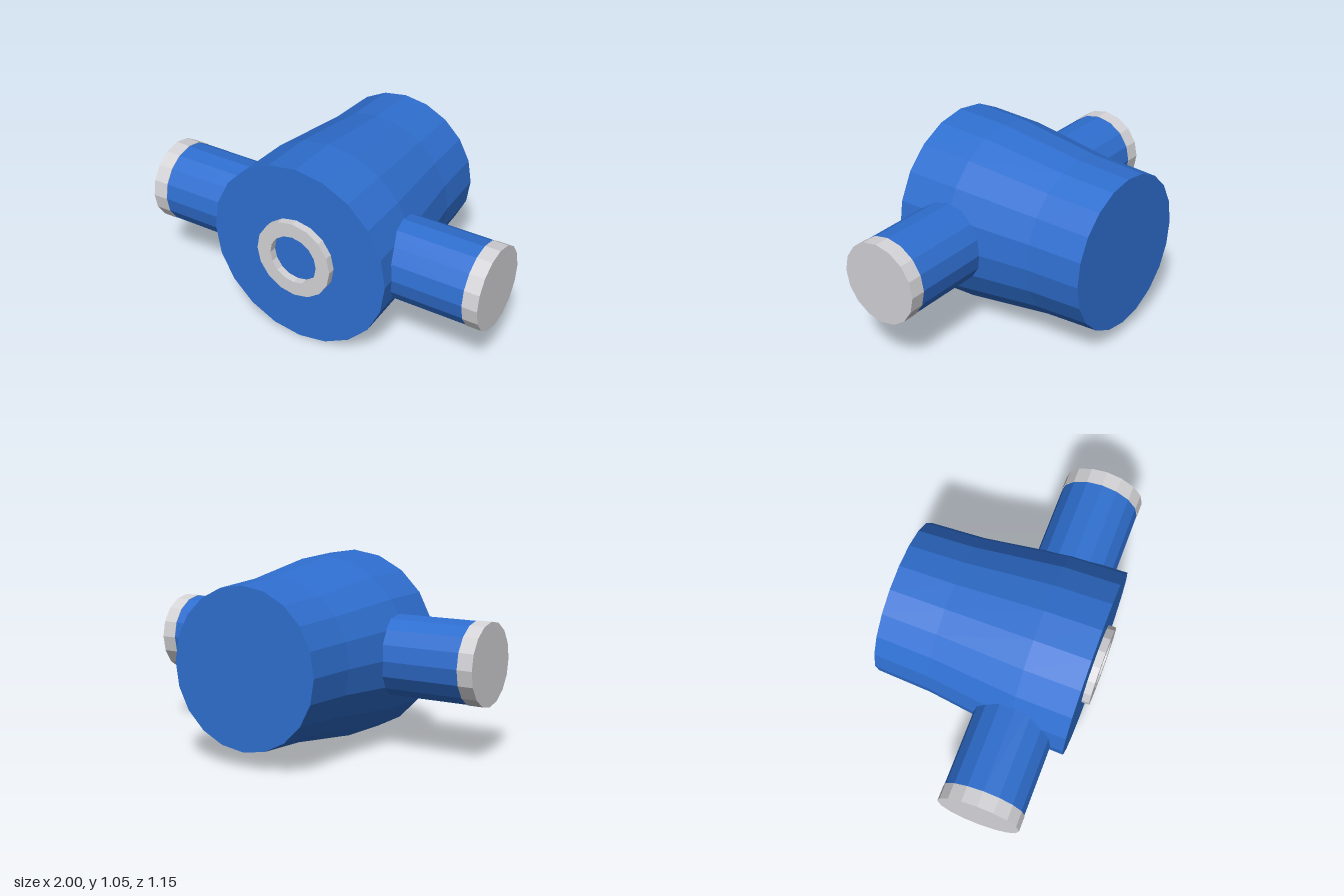
import * as THREE from 'three';

export function createModel() {
  const group = new THREE.Group();
  const blue = new THREE.MeshStandardMaterial({ color: 0x2f6fd0, flatShading: true });
  blue.name = 'blue paint';
  const silver = new THREE.MeshStandardMaterial({ color: 0xd4d4d8, flatShading: true });
  silver.name = 'silver metal';
  const centreY = 0.527;

  // Turned part along z from [radius, z] pairs
  const turned = (name, profile, sides, material) => {
    const points = profile.map(([r, z]) => new THREE.Vector2(r, z));
    const mesh = new THREE.Mesh(new THREE.LatheGeometry(points, sides).rotateX(Math.PI / 2), material);
    mesh.name = name;
    mesh.position.y = centreY;
    group.add(mesh);
  };

  // Tapered main body, closed at both ends
  turned('body', [
    [0, -0.575], [0.432, -0.575], [0.448, -0.265], [0.513, 0.225], [0.523, 0.535], [0, 0.535],
  ], 20, blue);

  // Raised collar on the front face
  turned('frontRing', [
    [0.14, 0.53], [0.222, 0.53], [0.222, 0.577], [0.14, 0.577], [0.14, 0.53],
  ], 16, silver);

  // Side pipes with end caps
  const pipe = (name, radius, from, to, side, material) => {
    const geometry = new THREE.CylinderGeometry(radius, radius, to - from, 16).rotateZ(Math.PI / 2);
    const mesh = new THREE.Mesh(geometry, material);
    mesh.name = name;
    mesh.position.set(side * (from + to) / 2, centreY, 0.24);
    group.add(mesh);
  };
  for (const [label, side] of [['left', 1], ['right', -1]]) {
    pipe(label + 'Pipe', 0.224, 0.3, 0.916, side, blue);
    pipe(label + 'Cap', 0.227, 0.915, 1, side, silver);
  }
  return group;
}
